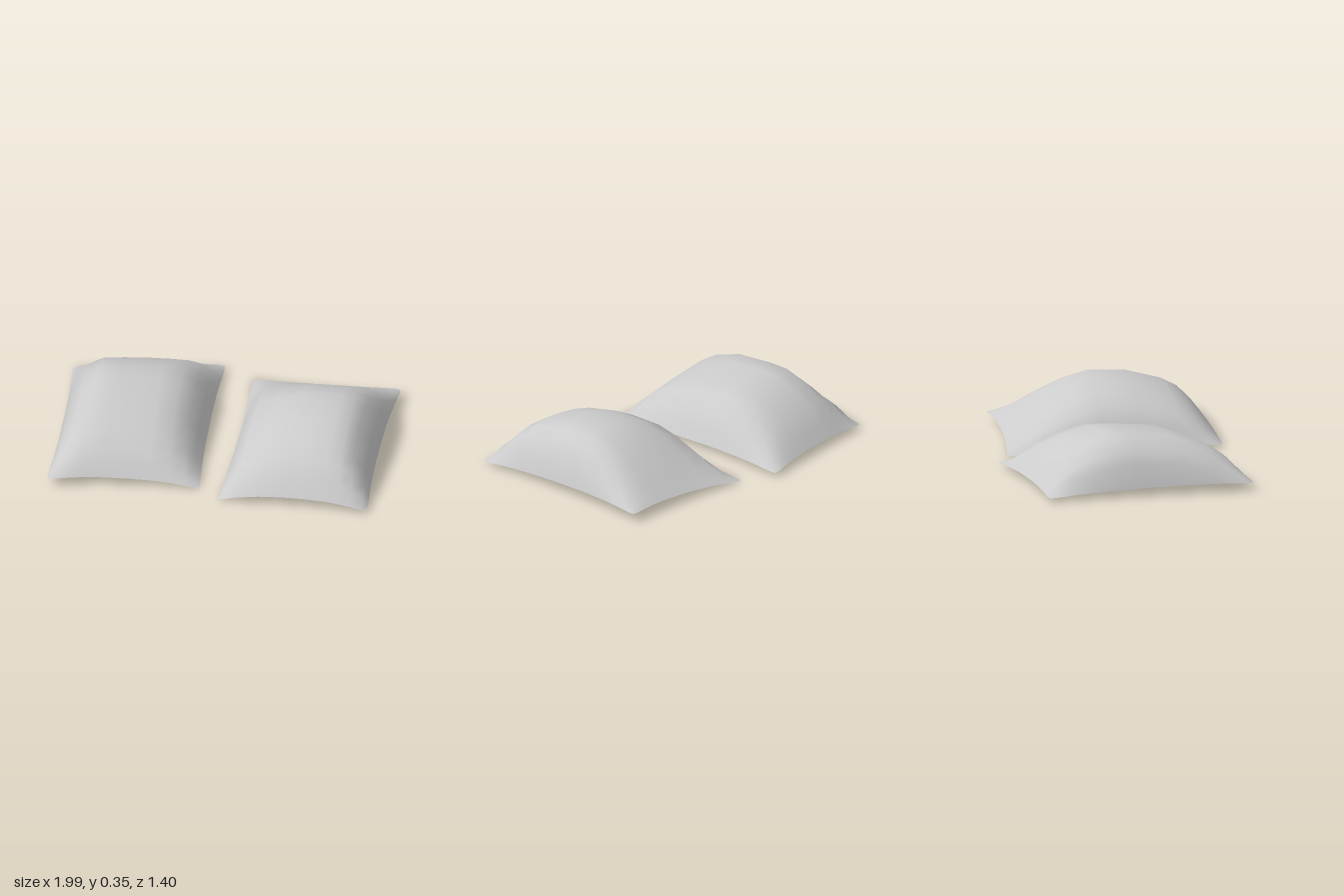
import * as THREE from 'three';

const material = new THREE.MeshStandardMaterial({ color: 0xcccccc, side: THREE.DoubleSide });
const vec = (p) => new THREE.Vector3(...p);

// Seam edge between two corners, bowed most at its middle
function seam(a, b, bow) {
  return (t) => vec(a).lerp(vec(b), t).addScaledVector(vec(bow), 1 - Math.abs(2 * t - 1) ** 2.4);
}

// Point of the patch spanned by the four seams (u runs to +x, v to +z)
function patchPoint({ back, front, left, right }, u, v) {
  const across = back(u).lerp(front(u), v);
  const along = left(v).lerp(right(v), u);
  const corners = back(0).lerp(back(1), u).lerp(front(0).lerp(front(1), u), v);
  return across.add(along).sub(corners);
}

// One face of a pillow: the seam patch, raised by the product of two profiles
function face(seams, uProfile, vProfile, height, up) {
  const positions = [];
  const indices = [];
  const nu = uProfile.length;
  const nv = vProfile.length;
  const centre = patchPoint(seams, 0.5, 0.5);
  vProfile.forEach(([v, g], j) => {
    uProfile.forEach(([u, f], i) => {
      const p = patchPoint(seams, u, v);
      p.y += height * f * g;
      // Round off the corner tips
      if (i % (nu - 1) === 0 && j % (nv - 1) === 0) p.lerp(centre, 0.02);
      positions.push(p.x, p.y, p.z);
      if (i < nu - 1 && j < nv - 1) {
        const a = j * nu + i;
        const b = a + 1;
        const c = a + nu;
        const d = c + 1;
        if (up) indices.push(a, c, b, b, c, d);
        else indices.push(a, b, c, b, d, c);
      }
    });
  });
  const geometry = new THREE.BufferGeometry();
  geometry.setAttribute('position', new THREE.Float32BufferAttribute(positions, 3));
  geometry.setIndex(indices);
  geometry.computeVertexNormals();
  return geometry;
}

function pillow(name, { corners, bows, uProfile, vProfile, height }) {
  const [bl, br, fr, fl] = corners;
  const seams = {
    back: seam(bl, br, bows[0]),
    right: seam(br, fr, bows[1]),
    front: seam(fl, fr, bows[2]),
    left: seam(bl, fl, bows[3]),
  };
  const group = new THREE.Group();
  group.name = name;
  const top = new THREE.Mesh(face(seams, uProfile, vProfile, height, true), material);
  top.name = name + 'Top';
  const underside = new THREE.Mesh(face(seams, uProfile, vProfile, 0, false), material);
  underside.name = name + 'Underside';
  group.add(top, underside);
  return group;
}

export function createModel() {
  const model = new THREE.Group();
  model.name = 'pillows';

  // Corners run back -x, back +x, front +x, front -x; bows run back, +x side, front, -x side
  model.add(pillow('leftPillow', {
    corners: [[0.085, 0.0, -0.625], [1.0, 0.05, -0.595], [1.0, 0.015, 0.69], [0.085, 0.01, 0.7]],
    bows: [[0, 0.02, 0.035], [-0.03, 0.02, 0], [0, 0.045, -0.018], [0.025, 0.03, 0]],
    uProfile: [[0, 0], [0.05, 0.32], [0.12, 0.65], [0.27, 0.83], [0.43, 0.96], [0.57, 0.98], [0.71, 1],
      [0.8, 0.92], [0.88, 0.8], [0.96, 0.42], [1, 0]],
    vProfile: [[0, 0], [0.03, 0.08], [0.1, 0.27], [0.2, 0.56], [0.32, 0.84], [0.44, 1], [0.62, 0.97],
      [0.8, 0.77], [0.88, 0.59], [0.945, 0.31], [1, 0]],
    height: 0.277,
  }));

  model.add(pillow('rightPillow', {
    corners: [[-1.0, 0.02, -0.56], [-0.09, 0.02, -0.72], [-0.04, 0.0, 0.59], [-0.955, 0.05, 0.71]],
    bows: [[0, 0.025, 0.02], [-0.02, 0.025, 0], [0, 0.025, -0.03], [0.022, 0.015, 0]],
    uProfile: [[0, 0], [0.05, 0.5], [0.12, 0.74], [0.22, 0.99], [0.36, 0.98], [0.52, 0.95], [0.66, 0.9],
      [0.79, 0.84], [0.89, 0.56], [0.95, 0.28], [1, 0]],
    vProfile: [[0, 0], [0.05, 0.22], [0.13, 0.56], [0.24, 0.82], [0.35, 1], [0.45, 1], [0.66, 0.92],
      [0.82, 0.69], [0.91, 0.45], [0.965, 0.2], [1, 0]],
    height: 0.27,
  }));

  return model;
}
